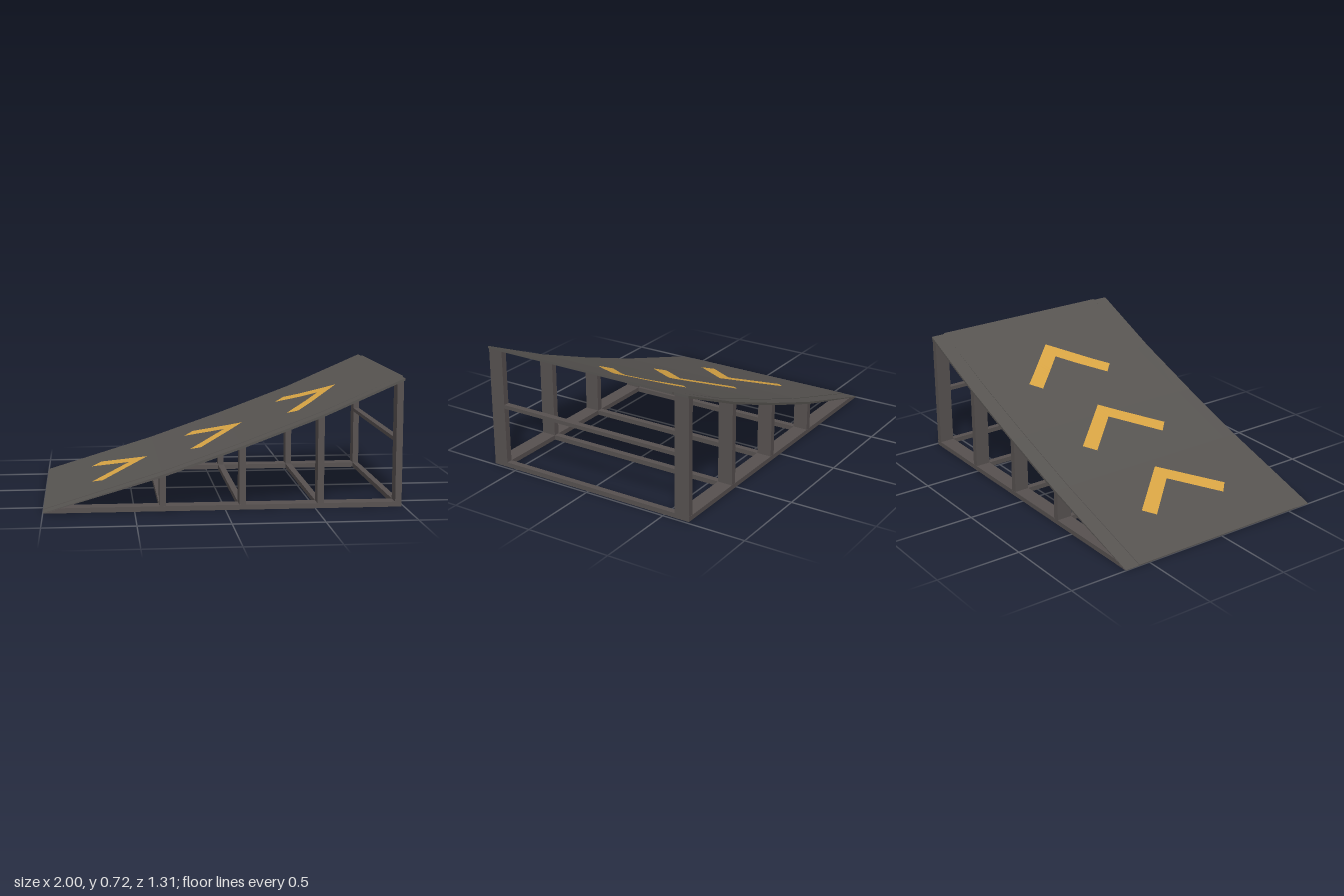
import * as THREE from 'three';

const HALF = 0.655;   // half width of the ramp
const INNER = 0.565;  // inner face of the side frames
const POSTS = [-0.345, 0.095, 0.53, 0.968];
const CURVE = [[-1, 0.003], [-0.345, 0.203], [0.095, 0.356], [0.53, 0.519], [1, 0.72]];

// Height of the deck line at x
function heightAt(x) {
  let i = 0;
  while (i < CURVE.length - 2 && x > CURVE[i + 1][0]) i++;
  const [a, b] = [CURVE[i], CURVE[i + 1]];
  return a[1] + (b[1] - a[1]) * (x - a[0]) / (b[0] - a[0]);
}

// Side profile in x/y, extruded from z0 to z1
function prism(name, points, z0, z1, material) {
  const shape = new THREE.Shape(points.map(([x, y]) => new THREE.Vector2(x, y)));
  const geometry = new THREE.ExtrudeGeometry(shape, { depth: z1 - z0, bevelEnabled: false });
  geometry.translate(0, 0, z0);
  const mesh = new THREE.Mesh(geometry, material);
  mesh.name = name;
  return mesh;
}

// Closed slab profile following the deck line
function slab(top, bottom, xEnd) {
  const line = CURVE.map(([x, y]) => [Math.min(x, xEnd), y]);
  return [
    ...line.map(([x, y]) => [x, y + top]),
    ...line.map(([x, y]) => [x, Math.max(y - bottom, 0)]).reverse(),
  ];
}

// Thin chevron laid on the deck with its tip at tipX
function chevronGeometry(tipX) {
  const positions = [];
  const steps = 16;
  const at = (x, z) => [x, heightAt(x) + 0.006, z];
  for (const side of [1, -1]) {
    const outer = t => at(tipX - 0.27 * t, side * 0.3 * t);
    const inner = t => at(tipX - 0.11 - 0.22 * t, side * 0.24 * t);
    for (let i = 0; i < steps; i++) {
      const o0 = outer(i / steps), o1 = outer((i + 1) / steps);
      const i0 = inner(i / steps), i1 = inner((i + 1) / steps);
      const tris = side > 0 ? [o0, i0, o1, i0, i1, o1] : [o0, o1, i0, i0, o1, i1];
      positions.push(...tris.flat());
    }
  }
  const geometry = new THREE.BufferGeometry();
  geometry.setAttribute('position', new THREE.Float32BufferAttribute(positions, 3));
  geometry.computeVertexNormals();
  return geometry;
}

export function createModel() {
  const model = new THREE.Group();
  model.name = 'ramp';
  const frame = new THREE.MeshStandardMaterial({ name: 'frame grey', color: 0x575150 });
  const deck = new THREE.MeshStandardMaterial({ name: 'deck grey', color: 0x575451 });
  const yellow = new THREE.MeshStandardMaterial({ name: 'marking yellow', color: 0xd9a544, side: THREE.DoubleSide });

  // Deck panel between the side frames
  model.add(prism('deckPanel', slab(0.003, 0.011, 1), -INNER, INNER, deck));

  // Side frames: sloped rail, base rail and posts
  for (const [side, z0, z1] of [['left', INNER, HALF], ['right', -HALF, -INNER]]) {
    const group = new THREE.Group();
    group.name = side === 'left' ? 'frontSideFrame' : 'backSideFrame';
    group.add(prism('slopedRail', slab(0, 0.014, 0.992), z0, z1, deck));
    group.add(prism('baseRail', [[-0.99, 0], [0.986, 0], [0.986, 0.028], [-0.9, 0.028]], z0, z1, frame));
    for (const x of POSTS) {
      const a = x - 0.018, b = x + 0.018;
      group.add(prism('post',
        [[a, 0.001], [b, 0.001], [b, heightAt(b) - 0.008], [a, heightAt(a) - 0.008]],
        z0 + 0.001, z1 - 0.001, frame));
    }
    model.add(group);
  }

  // Cross beams along the ground
  for (const x of POSTS) {
    const a = x - 0.018, b = x + 0.018;
    model.add(prism('groundBeam', [[a, 0], [b, 0], [b, 0.028], [a, 0.028]], -INNER, INNER, frame));
  }
  model.add(prism('toeBeam', [[-0.99, 0], [-0.87, 0], [-0.87, 0.028], [-0.9, 0.028]], -INNER, INNER, frame));

  // Middle beam across the high end
  model.add(prism('middleBeam', [[0.95, 0.361], [0.986, 0.361], [0.986, 0.383], [0.95, 0.383]], -INNER, INNER, frame));

  // Direction markings
  for (const tipX of [-0.4, 0.165, 0.725]) {
    const mesh = new THREE.Mesh(chevronGeometry(tipX), yellow);
    mesh.name = 'chevronMarking';
    model.add(mesh);
  }
  return model;
}
